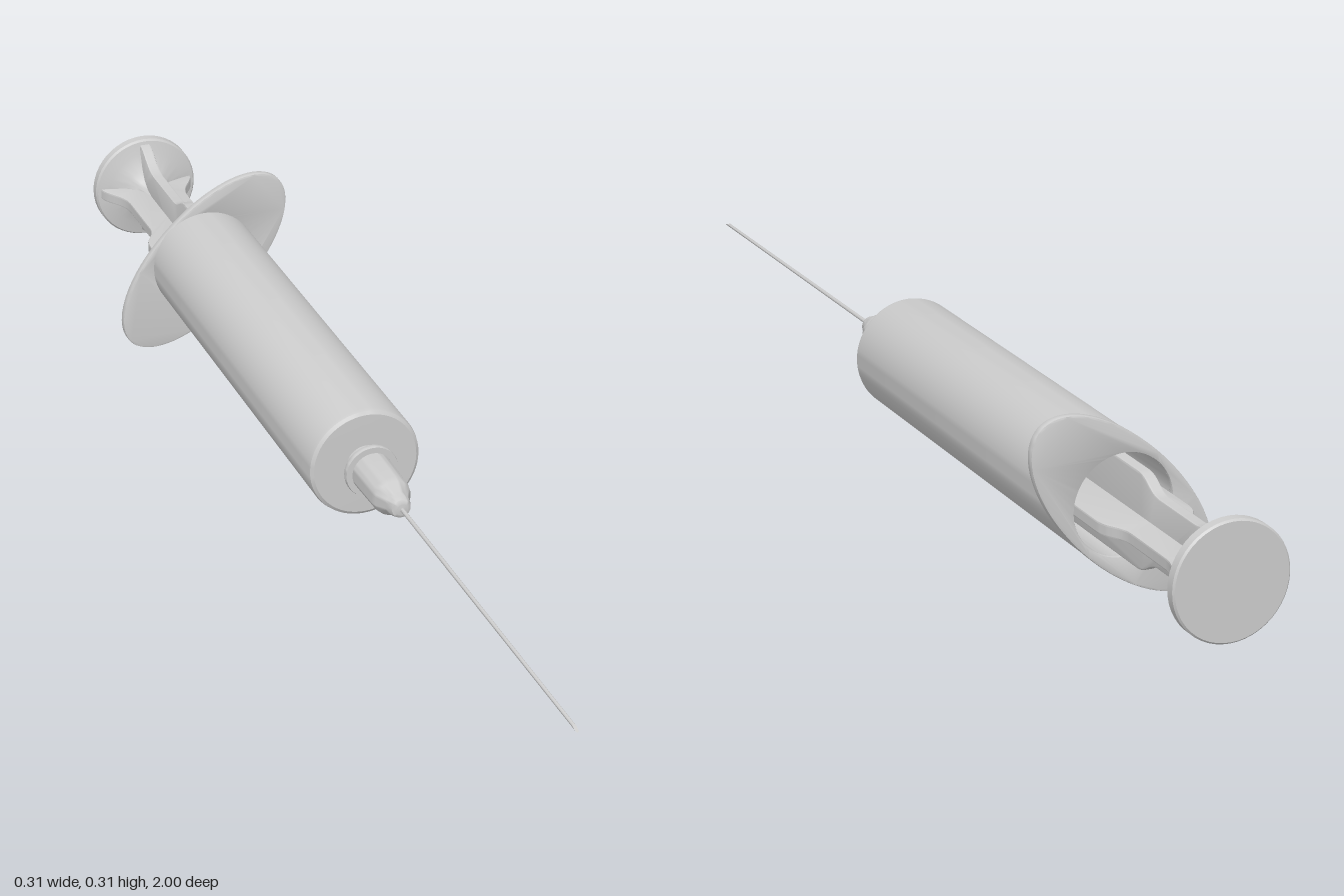
import * as THREE from 'three';
import { toCreasedNormals } from 'three/addons/utils/BufferGeometryUtils.js';

const AXIS_Y = 0.16;
const material = new THREE.MeshStandardMaterial({ color: 0xcccccc });

function part(name, geometry) {
  const mesh = new THREE.Mesh(toCreasedNormals(geometry, 0.6), material);
  mesh.name = name;
  return mesh;
}

// Turned part along z: profile is [radius, z] from back to front
function turned(name, profile, segments = 48) {
  const points = profile.map(([r, z]) => new THREE.Vector2(r, z));
  return part(name, new THREE.LatheGeometry(points, segments).rotateX(Math.PI / 2));
}

// Flat blade of the plunger, outlined along z with curved shoulders
function rib(name, angle) {
  const s = new THREE.Shape();
  s.moveTo(0, -0.978);
  s.lineTo(0.088, -0.978);
  s.bezierCurveTo(0.085, -0.95, 0.058, -0.94, 0.056, -0.9);
  s.lineTo(0.056, -0.785);
  s.bezierCurveTo(0.058, -0.755, 0.078, -0.75, 0.079, -0.72);
  s.lineTo(0.079, 0.03);
  s.lineTo(0, 0.03);
  // Mirror the half outline across the axis
  const half = s.getPoints(8);
  const other = half.slice(1, -1).reverse().map(p => new THREE.Vector2(-p.x, p.y));
  const geometry = new THREE.ExtrudeGeometry(new THREE.Shape([...half, ...other]), {
    depth: 0.014, bevelEnabled: true, bevelThickness: 0.003, bevelSize: 0.003, bevelOffset: -0.003, bevelSegments: 2,
  });
  geometry.translate(0, 0, -0.007).rotateX(Math.PI / 2).rotateZ(angle);
  return part(name, geometry);
}

export function createModel() {
  const model = new THREE.Group();
  model.name = 'syringe';
  const body = new THREE.Group();
  body.name = 'body';
  body.position.y = AXIS_Y;
  model.add(body);

  // Hollow barrel, open at the back, rounded front edge
  body.add(turned('barrel', [
    [0, 0.135], [0.084, 0.135], [0.084, -0.652], [0.097, -0.652],
    [0.097, 0.144], [0.0955, 0.15], [0.09, 0.154], [0, 0.155],
  ], 64));

  // Oval finger flange on the diagonal
  const oval = new THREE.Shape();
  oval.absellipse(0, 0, 0.2, 0.097, 0, Math.PI * 2, false, Math.PI / 4);
  const bore = new THREE.Path();
  bore.absarc(0, 0, 0.084, 0, Math.PI * 2, true);
  oval.holes.push(bore);
  const flange = new THREE.ExtrudeGeometry(oval, {
    depth: 0.009, curveSegments: 48, bevelThickness: 0.003, bevelSize: 0.003, bevelOffset: -0.003, bevelSegments: 2,
  });
  body.add(part('fingerFlange', flange.translate(0, 0, -0.653)));

  // Neck, collar ring and needle hub
  body.add(turned('neck', [[0.034, 0.15], [0.034, 0.18]]));
  body.add(turned('collar', [[0, 0.174], [0.045, 0.174], [0.046, 0.177], [0.046, 0.182], [0.045, 0.185], [0, 0.185]]));
  body.add(turned('needleHub', [
    [0.035, 0.18], [0.033, 0.265], [0.031, 0.275], [0.021, 0.293],
    [0.019, 0.304], [0.016, 0.312], [0.01, 0.316], [0, 0.317],
  ]));

  // Needle with a slanted tip
  const needle = new THREE.CylinderGeometry(0.003, 0.0035, 0.69, 12).rotateX(Math.PI / 2).translate(0, 0, 0.655);
  const pos = needle.attributes.position;
  for (let i = 0; i < pos.count; i++) {
    if (pos.getZ(i) > 0.99) pos.setZ(i, 0.991 - pos.getY(i) * 3);
  }
  body.add(part('needle', needle));

  // Plunger: crossed ribs, thumb disc with flared root, piston inside
  const plunger = new THREE.Group();
  plunger.name = 'plunger';
  plunger.add(rib('horizontalRib', 0), rib('verticalRib', Math.PI / 2));
  plunger.add(turned('thumbDisc', [
    [0, -1], [0.094, -1], [0.097, -0.997], [0.097, -0.982], [0.094, -0.978],
    [0.072, -0.973], [0.045, -0.964], [0.028, -0.952], [0.018, -0.935], [0.012, -0.9], [0, -0.9],
  ]));
  plunger.add(turned('piston', [[0, 0.02], [0.083, 0.02], [0.083, 0.09], [0, 0.115]]));
  body.add(plunger);

  return model;
}
